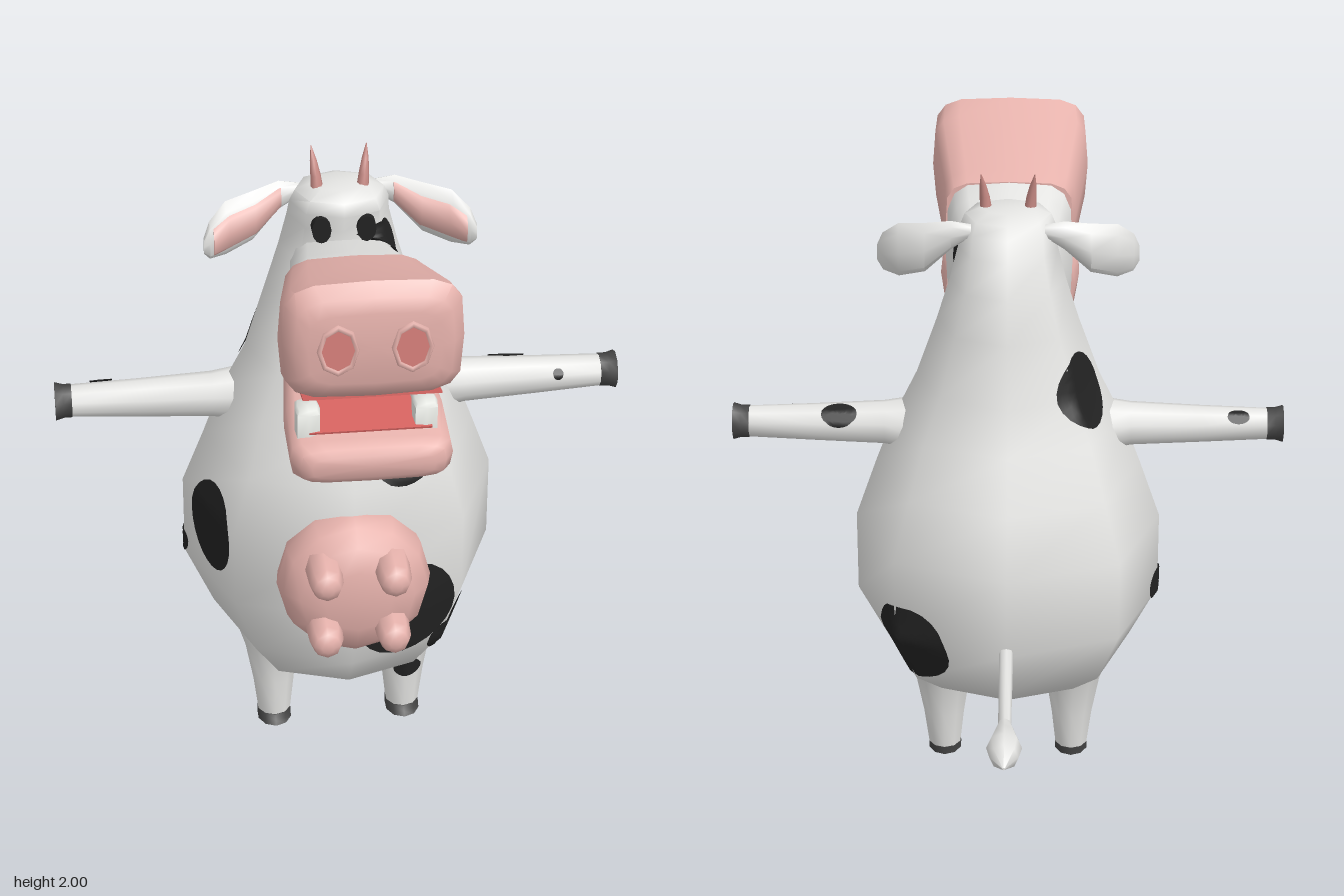
import * as THREE from 'three';
import { toCreasedNormals } from 'three/addons/utils/BufferGeometryUtils.js';

const mat = (name, color, side = THREE.FrontSide) => {
  const m = new THREE.MeshStandardMaterial({ color, side });
  m.name = name;
  return m;
};

// Closed skin over cross-sections along one axis (0 x, 1 y, 2 z).
// Row: [position, radius on next axis, radius on the one after, centre on each]
function loft(axis, rows, n = 8, power = 2, crease = 1.0) {
  const pos = [], index = [];
  const put = (t, u, v) => {
    const p = [0, 0, 0];
    p[axis] = t; p[(axis + 1) % 3] = u; p[(axis + 2) % 3] = v;
    pos.push(...p);
  };
  const bend = (c) => Math.abs(c) < 1e-6 ? 0 : Math.sign(c) * Math.abs(c) ** (2 / power);
  for (const [t, ru, rv, cu = 0, cv = 0] of rows)
    for (let j = 0; j < n; j++) {
      const a = j / n * Math.PI * 2;
      put(t, cu + ru * bend(Math.cos(a)), cv + rv * bend(Math.sin(a)));
    }
  const last = rows.length - 1, c0 = rows.length * n, c1 = c0 + 1;
  for (const [t, , , cu = 0, cv = 0] of [rows[0], rows[last]]) put(t, cu, cv);
  const outward = rows[last][0] > rows[0][0];
  const tri = (a, b, c) => outward ? index.push(a, b, c) : index.push(a, c, b);
  for (let j = 0; j < n; j++) {
    const k = (j + 1) % n;
    for (let i = 0; i < last; i++) {
      const a = i * n + j, b = i * n + k;
      tri(a, b, b + n);
      tri(a, b + n, a + n);
    }
    tri(c0, k, j);
    tri(c1, last * n + j, last * n + k);
  }
  const g = new THREE.BufferGeometry();
  g.setAttribute('position', new THREE.Float32BufferAttribute(pos, 3));
  g.setIndex(index);
  return toCreasedNormals(g, crease);
}

// Elliptical patch laid onto the skin along direction d
function patch(skin, p, d, r1, r2, turn) {
  const dir = new THREE.Vector3(...d).normalize();
  const up = Math.abs(dir.y) > 0.9 ? new THREE.Vector3(0, 0, -1) : new THREE.Vector3(0, 1, 0);
  const right = up.cross(dir).normalize();
  const top = dir.clone().cross(right);
  const ray = new THREE.Raycaster();
  const rings = 8, n = 24, pos = [], ok = [], index = [];
  for (let i = 0; i <= rings; i++)
    for (let j = 0; j < n; j++) {
      const a = j / n * Math.PI * 2, x = r1 * i / rings * Math.cos(a), y = r2 * i / rings * Math.sin(a);
      const from = new THREE.Vector3(...p).addScaledVector(dir, 0.3)
        .addScaledVector(right, x * Math.cos(turn) - y * Math.sin(turn))
        .addScaledVector(top, x * Math.sin(turn) + y * Math.cos(turn));
      ray.set(from, dir.clone().negate());
      const hit = ray.intersectObjects(skin, false)[0];
      ok.push(!!hit && hit.distance < 0.6);
      const q = hit ? hit.point.addScaledVector(hit.face.normal, 0.006) : from;
      pos.push(q.x, q.y, q.z);
    }
  for (let i = 0; i < rings; i++)
    for (let j = 0; j < n; j++) {
      const k = (j + 1) % n, a = i * n + j, b = i * n + k;
      for (const t of [[a, a + n, b + n], [a, b + n, b]])
        if (t.every((v) => ok[v])) index.push(...t);
    }
  const g = new THREE.BufferGeometry();
  g.setAttribute('position', new THREE.Float32BufferAttribute(pos, 3));
  g.setIndex(index);
  g.computeVertexNormals();
  return g;
}

export function createModel() {
  const white = mat('white hide', 0xe4e4e2), black = mat('black', 0x222222, THREE.DoubleSide);
  const pink = mat('pink skin', 0xe6b2ac), red = mat('mouth red', 0xd4625f, THREE.DoubleSide);
  const rose = mat('nostril rose', 0xd9827c), hoof = mat('hoof grey', 0x444444);
  const horn = mat('horn', 0xc98c86), ivory = mat('tooth ivory', 0xe9ebe6);
  const group = new THREE.Group();
  const add = (name, geo, material) => {
    const m = new THREE.Mesh(geo, material);
    m.name = name;
    group.add(m);
    return m;
  };

  // Torso, neck and crown: height, half width, front z, back z
  const profile = [
    [0.26, 0.12, 0.25, 0.03], [0.285, 0.22, 0.35, -0.03], [0.315, 0.29, 0.43, -0.09],
    [0.44, 0.39, 0.52, -0.27], [0.62, 0.475, 0.54, -0.34], [0.88, 0.475, 0.55, -0.34],
    [1.06, 0.41, 0.54, -0.28], [1.22, 0.35, 0.46, -0.2], [1.36, 0.28, 0.42, -0.14],
    [1.55, 0.215, 0.34, -0.1], [1.68, 0.175, 0.31, -0.065], [1.78, 0.15, 0.275, -0.02],
    [1.835, 0.145, 0.295, 0.02], [1.87, 0.13, 0.28, 0.05], [1.89, 0.08, 0.23, 0.1]];
  const skin = [add('body', loft(1, profile.map(([y, w, f, b]) =>
    [y, (f - b) / 2, w, (f + b) / 2, 0]), 8, 2.15), white)];

  // Head sections along z: z, half width, bottom y, top y
  const jaw = (rows) => loft(2, rows.map(([z, w, lo, hi]) =>
    [z, w, (hi - lo) / 2, 0, (hi + lo) / 2]), 16, 4.5);
  skin.push(add('face', jaw([[0.1, 0.14, 1.4, 1.7], [0.3, 0.165, 1.27, 1.765],
    [0.45, 0.19, 1.29, 1.81], [0.522, 0.2, 1.32, 1.83]]), white));
  add('upperMuzzle', jaw([[0.52, 0.201, 1.53, 1.832], [0.58, 0.21, 1.54, 1.85], [0.85, 0.25, 1.6, 1.935],
    [0.925, 0.245, 1.615, 1.965], [0.96, 0.215, 1.645, 1.93], [0.972, 0.18, 1.68, 1.89]]), pink);
  add('lowerJaw', jaw([[0.52, 0.202, 1.32, 1.57], [0.59, 0.21, 1.345, 1.54], [0.75, 0.225, 1.35, 1.51],
    [0.91, 0.225, 1.355, 1.475], [0.955, 0.2, 1.365, 1.468], [0.97, 0.17, 1.385, 1.45]]), pink);

  // Mouth lining: thin sloping plates
  const plate = (name, w, z0, y0, z1, y1) => {
    const g = new THREE.BoxGeometry(w, 0.006, Math.hypot(z1 - z0, y1 - y0));
    g.rotateX(-Math.atan2(y1 - y0, z1 - z0));
    g.translate(0, (y0 + y1) / 2, (z0 + z1) / 2);
    add(name, g, red);
  };
  plate('tongue', 0.34, 0.58, 1.545, 0.89, 1.484);
  plate('palate', 0.38, 0.58, 1.537, 0.92, 1.611);

  // Teeth
  for (const [x, z] of [[-0.17, 0.845], [0.155, 0.84], [0.16, 0.745]]) {
    const tooth = add('tooth', loft(1, [[1.46, 0.045, 0.035], [1.54, 0.045, 0.035], [1.55, 0.036, 0.027]], 8, 5), ivory);
    tooth.position.set(x, 0, z);
  }

  for (const s of [1, -1]) {
    // Nostril with raised rim
    const nostril = add('nostril', new THREE.CylinderGeometry(0.05, 0.05, 0.008, 8).rotateX(Math.PI / 2), rose);
    const rim = add('nostrilRim', new THREE.TorusGeometry(0.05, 0.008, 6, 8), pink);
    for (const m of [nostril, rim]) {
      m.scale.y = 1.35;
      m.position.set(s * 0.1, 1.785, 0.971);
    }
    // Eye
    add('eye', loft(2, [[0.2, 0.028, 0.04, s * 0.065, 1.795], [0.288, 0.028, 0.04, s * 0.065, 1.795]], 12), black);
    // Horn
    add('horn', loft(1, [[1.86, 0.024, 0.02, 0.18, s * 0.065], [1.92, 0.018, 0.015, 0.175, s * 0.07],
      [1.96, 0.011, 0.01, 0.163, s * 0.075], [2.0, 0.001, 0.001, 0.148, s * 0.08]]), horn);
    // Ear and its pink lining
    const ear = [[0.11, 0.02, 0.02, 1.84, 0.1], [0.17, 0.045, 0.025, 1.825, 0.1], [0.25, 0.078, 0.038, 1.775, 0.125],
      [0.33, 0.085, 0.04, 1.755, 0.155], [0.38, 0.06, 0.028, 1.735, 0.19], [0.398, 0.025, 0.01, 1.725, 0.205]];
    add('ear', loft(0, ear.map(([x, ...r]) => [s * x, ...r])), white);
    add('earLining', loft(0, ear.slice(1, 5).map(([x, a, b, y, z]) =>
      [s * (x * 0.97), a * 0.7, b * 0.75, y, z + 0.016])), pink);
    // Arm and hand hoof
    skin.push(add('arm', loft(0, [[s * 0.24, 0.095, 0.095, 1.185, 0.13], [s * 0.38, 0.067, 0.072, 1.19, 0.13],
      [s * 0.6, 0.057, 0.06, 1.19, 0.128], [s * 0.81, 0.048, 0.05, 1.192, 0.126]], 10), white));
    add('handHoof', loft(0, [[s * 0.8, 0.05, 0.052, 1.192, 0.126], [s * 0.825, 0.05, 0.053, 1.192, 0.126],
      [s * 0.85, 0.058, 0.058, 1.192, 0.126], [s * 0.832, 0.02, 0.02, 1.192, 0.126]], 10), hoof);
    // Leg and foot hoof
    skin.push(add('leg', loft(1, [[0.38, 0.12, 0.12, 0.13, s * 0.21], [0.28, 0.082, 0.09, 0.13, s * 0.21],
      [0.15, 0.066, 0.068, 0.135, s * 0.208], [0.025, 0.058, 0.053, 0.138, s * 0.207]], 10), white));
    add('footHoof', loft(1, [[0.028, 0.06, 0.054, 0.138, s * 0.207], [0.012, 0.064, 0.054, 0.144, s * 0.207],
      [0, 0.07, 0.055, 0.15, s * 0.207]], 10), hoof);
    // Teats
    for (const y of [0.86, 0.66])
      add('teat', loft(2, [[0.58, 0.056, 0.056, s * 0.1, y], [0.7, 0.05, 0.05, s * 0.1, y],
        [0.73, 0.04, 0.04, s * 0.1, y], [0.742, 0.018, 0.018, s * 0.1, y]]), pink);
  }

  // Udder
  add('udder', loft(2, [[0.46, 0.22, 0.22, 0, 0.76], [0.53, 0.23, 0.23, 0, 0.76], [0.59, 0.215, 0.215, 0, 0.76],
    [0.635, 0.17, 0.17, 0, 0.76], [0.66, 0.1, 0.1, 0, 0.76]], 12), pink);

  // Tail and tuft
  const round = (rows) => loft(2, rows.map(([z, r]) => [z, r, r, 0, 0.63]));
  add('tail', round([[-0.28, 0.022], [-0.76, 0.019]]), white);
  add('tailTuft', round([[-0.73, 0.019], [-0.79, 0.034], [-0.86, 0.052], [-0.91, 0.042], [-0.97, 0.004]]), white);

  // Hide spots: place, facing, two radii, turn
  const spots = [
    [[0.16, 1.15, 0.48], [0.3, 0.2, 1], 0.105, 0.105, 0],
    [[-0.12, 1.285, 0.42], [-0.1, 0.2, 1], 0.027, 0.022, 0],
    [[0.17, 0.6, 0.5], [0.25, -0.1, 1], 0.165, 0.165, 0],
    [[0.33, 0.46, 0.37], [0.8, -0.3, 0.75], 0.105, 0.07, 0.35],
    [[-0.43, 0.82, 0.3], [-1, 0, 0.45], 0.125, 0.145, 0],
    [[-0.45, 0.66, 0.08], [-1, -0.1, -0.1], 0.06, 0.045, 0.4],
    [[0.33, 0.59, -0.23], [1, -0.15, -1], 0.13, 0.14, 0],
    [[-0.22, 1.36, 0], [-1, 0.4, -0.65], 0.11, 0.12, 0],
    [[0.16, 1.695, 0.25], [1, 0.1, 0.2], 0.08, 0.105, -0.2],
    [[0.215, 0.185, 0.2], [0.05, 0, 1], 0.042, 0.035, 0.2],
    [[0.665, 1.215, 0.18], [0, 0.5, 1], 0.016, 0.016, 0],
    [[0.52, 1.24, 0.08], [0, 0.7, -0.7], 0.055, 0.037, 0],
    [[-0.71, 1.23, 0.09], [0, 0.8, -0.6], 0.034, 0.022, 0]];
  for (const s of spots) add('spot', patch(skin, ...s), black);
  return group;
}
